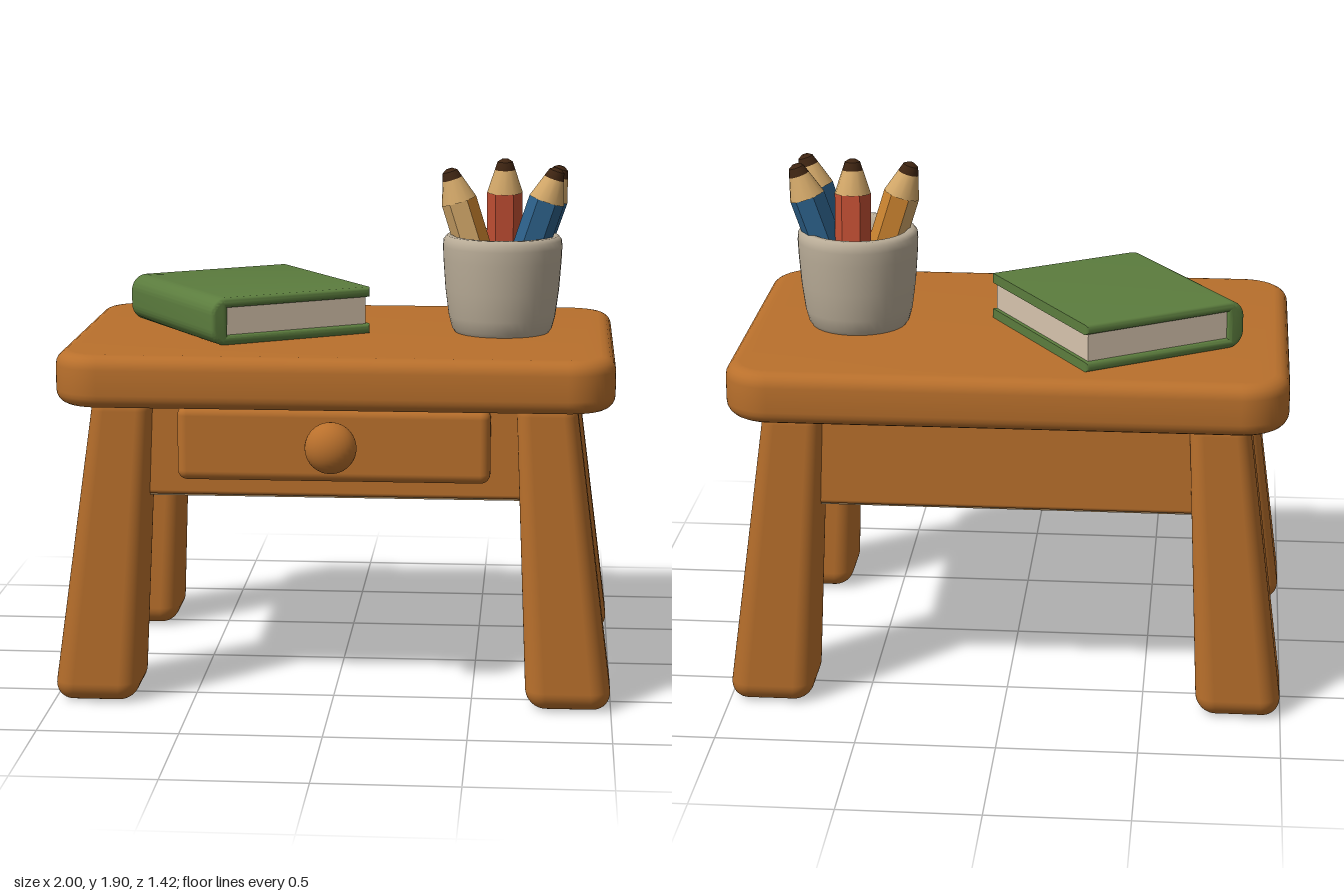
import * as THREE from 'three';
import { toCreasedNormals } from 'three/addons/utils/BufferGeometryUtils.js';
import { RoundedBoxGeometry } from 'three/addons/geometries/RoundedBoxGeometry.js';

const mat = (name, color) => {
  const m = new THREE.MeshStandardMaterial({ color });
  m.name = name;
  return m;
};

// rounded rectangle centred on the origin
function roundedRect(w, h, r) {
  const s = new THREE.Shape(), x = w / 2, y = h / 2;
  s.absarc(x - r, y - r, r, 0, Math.PI / 2);
  s.absarc(-x + r, y - r, r, Math.PI / 2, Math.PI);
  s.absarc(-x + r, -y + r, r, Math.PI, Math.PI * 1.5);
  s.absarc(x - r, -y + r, r, Math.PI * 1.5, Math.PI * 2);
  s.closePath();
  return s;
}

export function createModel() {
  const wood = mat('wood', 0xb9702c);
  const underside = mat('dull underside', 0xa98a62);
  const green = mat('green cover', 0x5c7d3e);
  const paper = mat('paper', 0xd8c5ae);
  const clay = mat('clay', 0xbaad98);
  const red = mat('red paint', 0xc24f33);
  const blue = mat('blue paint', 0x2c6089);
  const ochre = mat('ochre paint', 0xc9822f);
  const bareWood = mat('bare pencil wood', 0xd3a869);
  const lead = mat('pencil lead', 0x3f2512);

  const model = new THREE.Group();
  const add = (name, geo, material, x = 0, y = 0, z = 0, parent = model) => {
    const mesh = new THREE.Mesh(geo, material);
    mesh.name = name;
    mesh.position.set(x, y, z);
    parent.add(mesh);
    return mesh;
  };

  // table top with soft edges
  const bevel = 0.05;
  const topGeo = new THREE.ExtrudeGeometry(roundedRect(1.9, 1.235, 0.12), {
    depth: 0.09, bevelThickness: bevel, bevelSize: bevel, bevelSegments: 5, curveSegments: 8,
  });
  topGeo.rotateX(-Math.PI / 2);
  add('tableTop', toCreasedNormals(topGeo, 0.7), wood, 0, 1.12, -0.03);

  // legs taper upward and lean inward; each end is [inner, outer]
  const legX = { bottom: [0.697, 1.006], top: [0.65, 0.86] };
  const legs = [
    { name: 'frontLeg', side: 1, bottom: [0.342, 0.672], top: [0.31, 0.56] },
    { name: 'backLeg', side: -1, bottom: [0.405, 0.717], top: [0.375, 0.625] },
  ];
  const lerp = THREE.MathUtils.lerp;
  const along = (range, t, u) =>
    lerp(lerp(range.bottom[0], range.top[0], t), lerp(range.bottom[1], range.top[1], t), u);
  for (const leg of legs) {
    for (const sx of [-1, 1]) {
      const geo = new RoundedBoxGeometry(0.3, 1.12, 0.3, 6, 0.07);
      const p = geo.attributes.position;
      for (let i = 0; i < p.count; i++) {
        const t = p.getY(i) / 1.12 + 0.5;
        const u = sx * p.getX(i) / 0.3 + 0.5, v = leg.side * p.getZ(i) / 0.3 + 0.5;
        p.setXYZ(i, sx * along(legX, t, u), t * 1.12, leg.side * along(leg, t, v));
      }
      add(leg.name + (sx > 0 ? 'Left' : 'Right'), geo, wood);
    }
  }

  // apron, its underside, drawer and knob
  add('apron', new RoundedBoxGeometry(1.54, 0.37, 1.06, 3, 0.015), wood, 0, 0.92, -0.045);
  add('apronUnderside', new THREE.BoxGeometry(1.51, 0.008, 1.03), underside, 0, 0.733, -0.045);
  add('drawerFront', new RoundedBoxGeometry(1.12, 0.27, 0.1, 4, 0.035), wood, 0, 0.933, 0.49);
  const stem = new THREE.CylinderGeometry(0.045, 0.045, 0.1, 20).rotateX(Math.PI / 2);
  add('knobStem', stem, wood, 0, 0.945, 0.57);
  add('knob', new THREE.SphereGeometry(0.092, 28, 20).scale(1, 1, 0.83), wood, 0, 0.945, 0.636);

  // book: a C-shaped cover wrapped round a block of pages, spine at -x
  const book = new THREE.Group();
  book.name = 'book';
  book.position.set(-0.367, 1.345, -0.097);
  book.rotation.y = 0.56;
  model.add(book);
  const w = 0.325, h = 0.087, r = 0.06, inner = 0.05, b = 0.016;
  const cover = new THREE.Shape();
  cover.moveTo(w - b, h - b);
  cover.lineTo(-w + r, h - b);
  cover.absarc(-w + r, h - r, r - b, Math.PI / 2, Math.PI);
  cover.absarc(-w + r, -h + r, r - b, Math.PI, Math.PI * 1.5);
  cover.lineTo(w - b, -h + b);
  cover.lineTo(w - b, -inner - b);
  cover.lineTo(-w + 0.05, -inner - b);
  cover.lineTo(-w + 0.05, inner + b);
  cover.lineTo(w - b, inner + b);
  cover.closePath();
  const coverGeo = new THREE.ExtrudeGeometry(cover, {
    depth: 0.7, bevelThickness: b, bevelSize: b, bevelSegments: 4, curveSegments: 8,
  });
  add('bookCover', toCreasedNormals(coverGeo, 0.8), green, 0, 0, -0.35, book);
  add('bookPages', new THREE.BoxGeometry(0.595, 0.104, 0.7), paper, 0.012, 0, 0, book);

  // pencil cup
  const cupX = 0.585, cupZ = -0.053;
  const cupProfile = [
    [0, 1.255], [0.172, 1.255], [0.186, 1.275], [0.198, 1.32], [0.211, 1.42], [0.219, 1.53], [0.221, 1.58],
    [0.219, 1.605], [0.207, 1.62], [0.185, 1.62], [0.172, 1.605], [0.168, 1.56], [0.16, 1.5], [0, 1.5],
  ].map(([x, y]) => new THREE.Vector2(x, y));
  add('cup', toCreasedNormals(new THREE.LatheGeometry(cupProfile, 40), 0.9), clay, cupX, 0, cupZ);
  add('cupLining', new THREE.CylinderGeometry(0.167, 0.167, 0.008, 32), red, cupX, 1.56, cupZ);

  // pencils point from base to tip; the two halves of the body may differ in paint
  function pencil(name, paint, base, tip, leftPaint = paint) {
    const from = new THREE.Vector3(...base), to = new THREE.Vector3(...tip);
    const dir = to.clone().sub(from), len = dir.length();
    const g = new THREE.Group();
    g.name = name;
    g.position.copy(from);
    g.quaternion.setFromUnitVectors(new THREE.Vector3(0, 1, 0), dir.normalize());
    model.add(g);
    const section = (part, r0, r1, y0, y1, sides, m, start = 0, sweep = Math.PI * 2) => {
      const geo = new THREE.CylinderGeometry(r1, r0, y1 - y0, sides, 1, false, start, sweep);
      add(part, toCreasedNormals(geo, 0.6), m, 0, (y0 + y1) / 2, 0, g);
    };
    const bodyTop = len - 0.125;
    section('pencilBodyRight', 0.066, 0.066, 0, bodyTop, 3, paint, Math.PI / 6, Math.PI);
    section('pencilBodyLeft', 0.066, 0.066, 0, bodyTop, 3, leftPaint, -Math.PI * 5 / 6, Math.PI);
    section('pencilCone', 0.066, 0.038, bodyTop, len - 0.04, 12, bareWood);
    section('pencilTip', 0.038, 0.028, len - 0.04, len - 0.01, 12, lead);
    section('pencilPoint', 0.028, 0.012, len - 0.01, len, 12, lead);
  }
  pencil('ochrePencil', ochre, [0.525, 1.42, -0.05], [0.385, 1.865, -0.04], bareWood);
  pencil('redPencil', red, [0.59, 1.42, -0.16], [0.59, 1.895, -0.12]);
  pencil('frontBluePencil', blue, [0.635, 1.42, 0.0], [0.785, 1.875, 0.01]);
  pencil('backBluePencil', blue, [0.645, 1.42, -0.12], [0.8, 1.87, -0.118]);

  return model;
}
